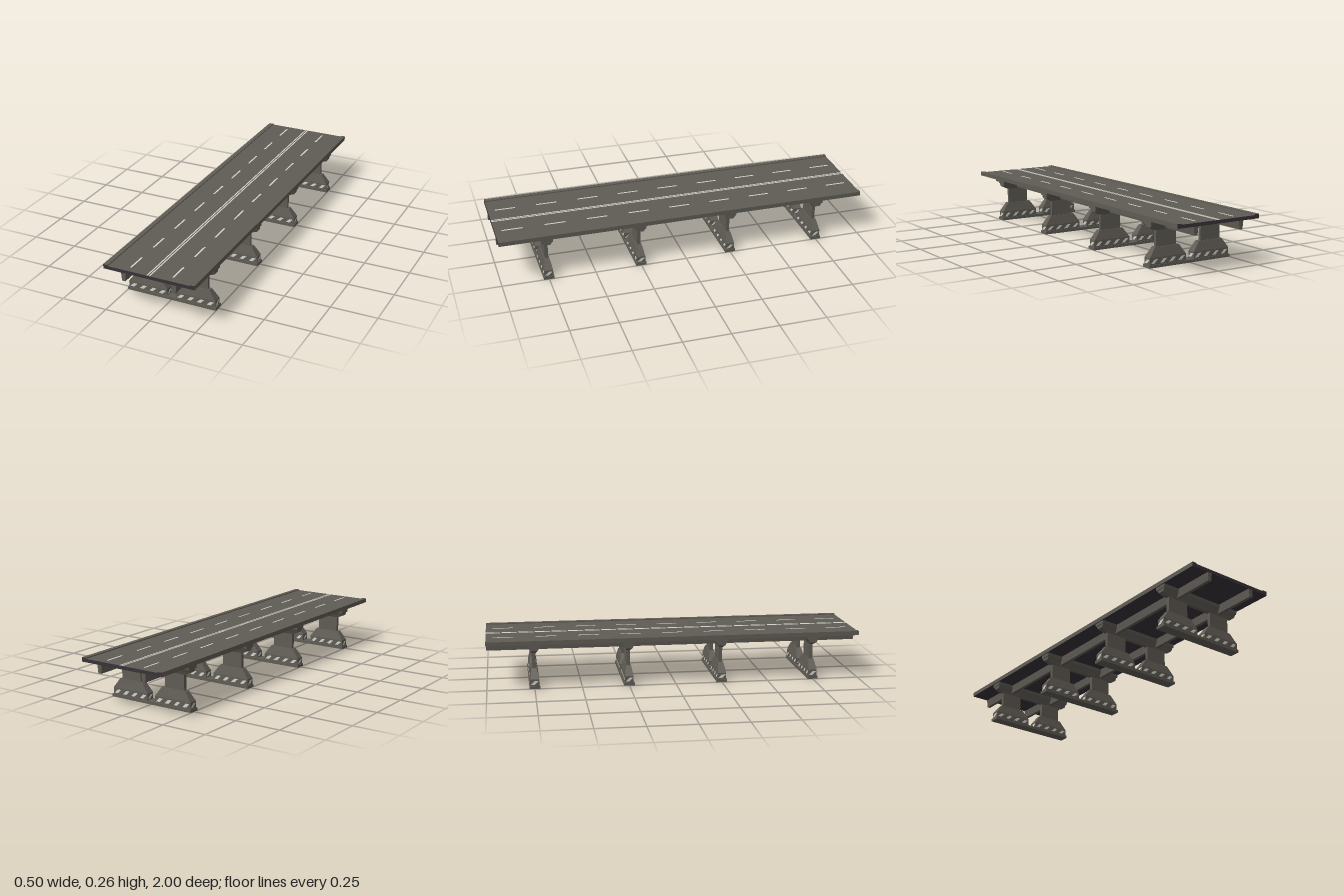
import * as THREE from 'three';

const mat = (name, color) => {
  const m = new THREE.MeshStandardMaterial({ color });
  m.name = name;
  return m;
};

export function createModel() {
  const concrete = mat('concrete grey', 0x605c55);
  const dark = mat('dark underside', 0x39333a);
  const paint = mat('white paint', 0xd2d2cd);
  const bridge = new THREE.Group();
  bridge.name = 'bridge';

  const add = (parent, name, geometry, material, x = 0, y = 0, z = 0) => {
    const mesh = new THREE.Mesh(geometry, material);
    mesh.name = name;
    mesh.position.set(x, y, z);
    parent.add(mesh);
    return mesh;
  };

  // Closed solid through rectangular levels [y, half width, half depth], bottom first
  const loft = (levels) => {
    const rings = levels.map(([y, w, d]) => [[-w, y, d], [w, y, d], [w, y, -d], [-w, y, -d]]);
    const pos = [];
    const quad = (a, b, c, d) => pos.push(...a, ...b, ...c, ...a, ...c, ...d);
    for (let i = 0; i < rings.length - 1; i++) {
      for (let k = 0; k < 4; k++) {
        const n = (k + 1) % 4;
        quad(rings[i][k], rings[i][n], rings[i + 1][n], rings[i + 1][k]);
      }
    }
    quad(...rings[rings.length - 1]);
    quad(...[...rings[0]].reverse());
    const g = new THREE.BufferGeometry();
    g.setAttribute('position', new THREE.Float32BufferAttribute(pos, 3));
    g.computeVertexNormals();
    return g;
  };

  // Road slab: concrete sides and top, dark ends and underside
  add(bridge, 'roadDeck', new THREE.BoxGeometry(0.5, 0.018, 2),
    [concrete, concrete, concrete, dark, dark, dark], 0, 0.244, 0);

  for (const s of [-1, 1]) {
    add(bridge, 'curb', new THREE.BoxGeometry(0.025, 0.006, 2),
      [concrete, concrete, concrete, concrete, dark, dark], s * 0.2375, 0.255, 0);

    // Tapered girder running the full length
    const section = new THREE.Shape([[-0.009, 0.191], [0.009, 0.191], [0.014, 0.236], [-0.014, 0.236]]
      .map(([x, y]) => new THREE.Vector2(x, y)));
    add(bridge, 'girder', new THREE.ExtrudeGeometry(section, { depth: 1.998, bevelEnabled: false }),
      concrete, s * 0.138, 0, -0.999);

    // Double centre line and lane dashes
    add(bridge, 'centreLine', new THREE.BoxGeometry(0.007, 0.001, 2), paint, s * 0.0065, 0.2535, 0);
    for (let i = 0; i < 9; i++) {
      add(bridge, 'laneDash', new THREE.BoxGeometry(0.009, 0.001, 0.111), paint,
        s * 0.116, 0.2535, (i - 4) * 0.227);
    }
  }

  // Shared pier geometry
  const footing = new THREE.BoxGeometry(0.5, 0.015, 0.056);
  const base = loft([[0.015, 0.11, 0.023], [0.05, 0.11, 0.023], [0.1, 0.073, 0.014]]);
  const column = new THREE.BoxGeometry(0.121, 0.09, 0.018);
  const cap = loft([[0.184, 0.205, 0.01], [0.2, 0.24, 0.018], [0.217, 0.24, 0.028],
    [0.217, 0.245, 0.03], [0.235, 0.245, 0.033]]);
  const slash = new THREE.ShapeGeometry(new THREE.Shape(
    [[-0.0215, 0.021], [0, 0.021], [0.0215, 0.042], [0, 0.042]].map(([x, y]) => new THREE.Vector2(x, y))));

  for (const z of [-0.75, -0.25, 0.25, 0.75]) {
    const pier = new THREE.Group();
    pier.name = 'pier';
    pier.position.z = z;
    bridge.add(pier);
    add(pier, 'footing', footing, concrete, 0, 0.0075, 0);
    add(pier, 'pierCap', cap, concrete);
    for (const s of [-1, 1]) {
      const leg = new THREE.Group();
      leg.name = 'pierLeg';
      leg.position.x = s * 0.135;
      pier.add(leg);
      add(leg, 'legBase', base, concrete);
      add(leg, 'column', column, concrete, s * 0.0025, 0.143, 0);
      // Warning slashes around the base
      for (const f of [1, -1]) {
        for (let i = 0; i < 4; i++) {
          const mark = add(leg, 'warningSlash', slash, paint, (i - 1.5) * 0.055, 0, f * 0.0238);
          if (f < 0) mark.rotation.y = Math.PI;
        }
        add(leg, 'sideSlash', slash, paint, f * 0.1108, 0, 0).rotation.y = f * Math.PI / 2;
      }
    }
  }
  return bridge;
}
